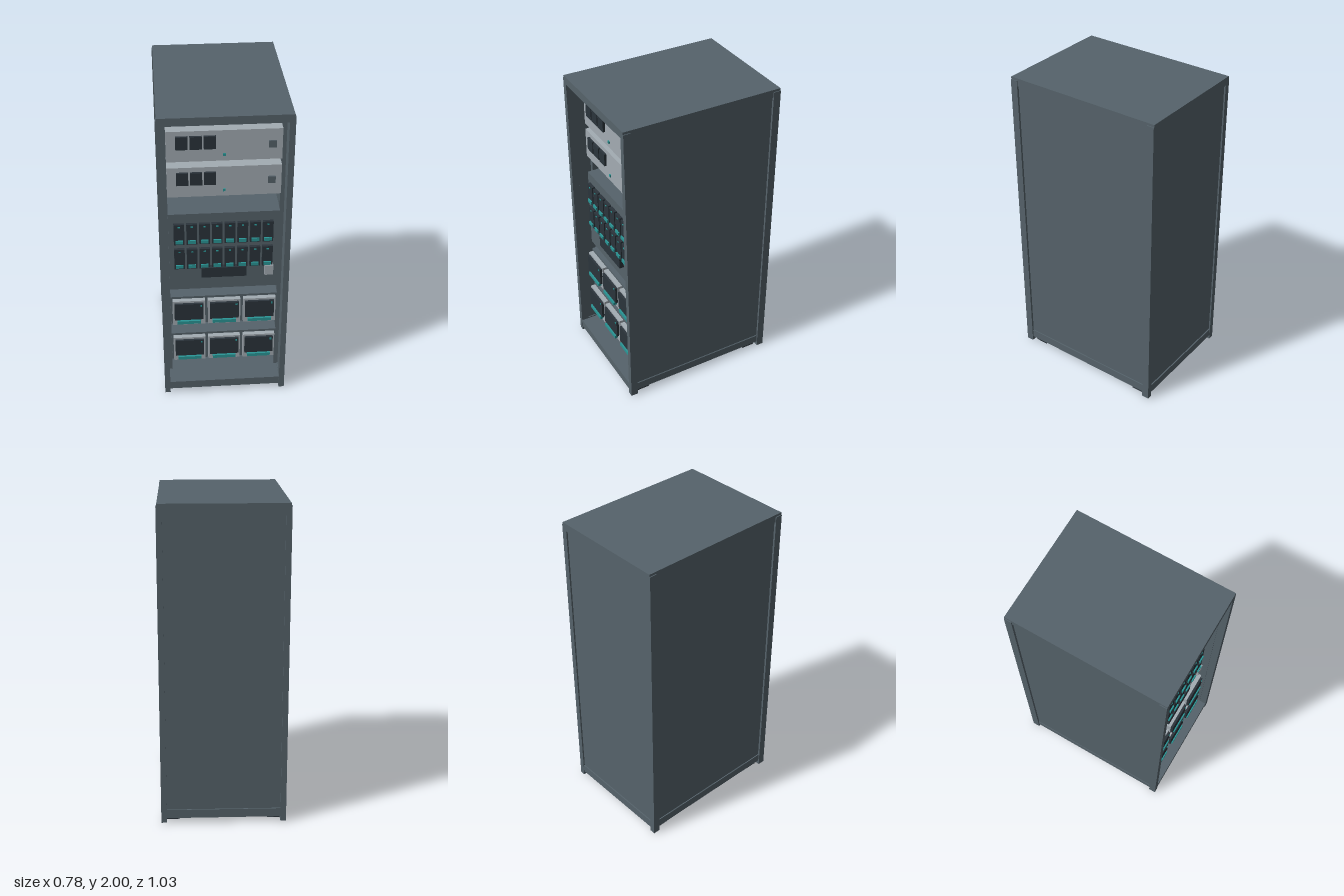
import * as THREE from 'three';

const mat = (name, color) => {
  const m = new THREE.MeshStandardMaterial({ color });
  m.name = name;
  return m;
};

export function createModel() {
  const steel = mat('slate steel', 0x56636b);
  const light = mat('light grey', 0xa3acb3);
  const dark = mat('charcoal', 0x2b343b);
  const teal = mat('teal', 0x2a9696);

  const model = new THREE.Group();
  model.name = 'equipmentRack';

  const group = (name, parent = model) => {
    const g = new THREE.Group();
    g.name = name;
    parent.add(g);
    return g;
  };
  // Box given by its minimum and maximum on each axis
  const box = (parent, name, m, x0, x1, y0, y1, z0, z1) => {
    const mesh = new THREE.Mesh(new THREE.BoxGeometry(x1 - x0, y1 - y0, z1 - z0), m);
    mesh.position.set((x0 + x1) / 2, (y0 + y1) / 2, (z0 + z1) / 2);
    mesh.name = name;
    parent.add(mesh);
    return mesh;
  };

  // Cabinet shell, open at the front
  const cabinet = group('cabinet');
  box(cabinet, 'roof', steel, -0.385, 0.385, 1.95, 2, -0.515, 0.515);
  box(cabinet, 'base', steel, -0.383, 0.383, 0.035, 0.09, -0.513, 0.513);
  box(cabinet, 'backPanel', steel, -0.355, 0.355, 0.09, 1.95, -0.505, -0.485);
  for (const s of [-1, 1]) {
    const side = (name, m, x0, x1, ...rest) =>
      box(cabinet, name, m, Math.min(s * x0, s * x1), Math.max(s * x0, s * x1), ...rest);
    side('sidePanel', steel, 0.362, 0.38, 0.098, 1.95, -0.465, 0.465);
    side('sideSill', steel, 0.355, 0.376, 0.09, 0.098, -0.465, 0.465);
    for (const [z0, z1] of [[0.468, 0.515], [-0.515, -0.468]])
      side('cornerPost', steel, 0.355, 0.39, 0.005, 1.985, z0, z1);
    for (const [z0, z1] of [[0.37, 0.455], [-0.455, -0.37]])
      side('foot', dark, 0.275, 0.36, 0, 0.035, z0, z1);
    side('mountingRail', steel, 0.335, 0.362, 0.09, 1.95, 0.36, 0.38);
  }

  // Two light units near the top
  for (const y of [1.67, 1.435]) {
    const unit = group('powerUnit');
    box(unit, 'unitBody', light, -0.335, 0.335, y, y + 0.195, -0.4, 0.415);
    for (let i = 0; i < 3; i++) {
      const x = -0.28 + i * 0.081;
      box(unit, 'plugInModule', dark, x, x + 0.07, y + 0.084, y + 0.165, 0.415, 0.43);
    }
    box(unit, 'statusLight', teal, -0.008, 0.008, y + 0.033, y + 0.049, 0.415, 0.422);
    box(unit, 'switch', steel, 0.255, 0.3, y + 0.078, y + 0.122, 0.415, 0.424);
  }

  // Large chassis with two rows of slim cards
  const shelf = group('cardChassis');
  box(shelf, 'chassisBody', steel, -0.335, 0.335, 0.765, 1.315, -0.4, 0.415);
  for (const y of [1.11, 0.932]) {
    for (let i = 0; i < 8; i++) {
      const x = -0.272 + i * 0.0766;
      const card = group('card', shelf);
      box(card, 'cardBody', dark, x - 0.032, x + 0.032, y, y + 0.142, 0.415, 0.435);
      box(card, 'cardLatch', teal, x - 0.023, x + 0.023, y + 0.01, y + 0.032, 0.435, 0.444);
      box(card, 'cardLight', teal, x - 0.007, x + 0.007, y + 0.121, y + 0.129, 0.435, 0.438);
    }
  }
  box(shelf, 'centreTray', dark, -0.14, 0.136, 0.868, 0.938, 0.415, 0.445);
  box(shelf, 'labelPlate', light, 0.248, 0.302, 0.868, 0.938, 0.415, 0.445);

  // Two lower shelves, each with three screened modules
  for (const y of [0.495, 0.205]) {
    const bay = group('moduleShelf');
    box(bay, 'shelfBody', steel, -0.335, 0.335, y, y + 0.21, -0.4, 0.415);
    for (const x of [-0.222, 0, 0.222]) {
      const unit = group('screenModule', bay);
      box(unit, 'moduleBody', light, x - 0.102, x + 0.102, y + 0.013, y + 0.195, 0.415, 0.445);
      box(unit, 'modulePanel', dark, x - 0.091, x + 0.091, y + 0.06, y + 0.182, 0.445, 0.46);
      box(unit, 'moduleHandle', teal, x - 0.074, x + 0.074, y + 0.033, y + 0.055, 0.445, 0.468);
      box(unit, 'moduleLight', teal, x + 0.071, x + 0.081, y + 0.162, y + 0.174, 0.46, 0.464);
    }
  }
  return model;
}
